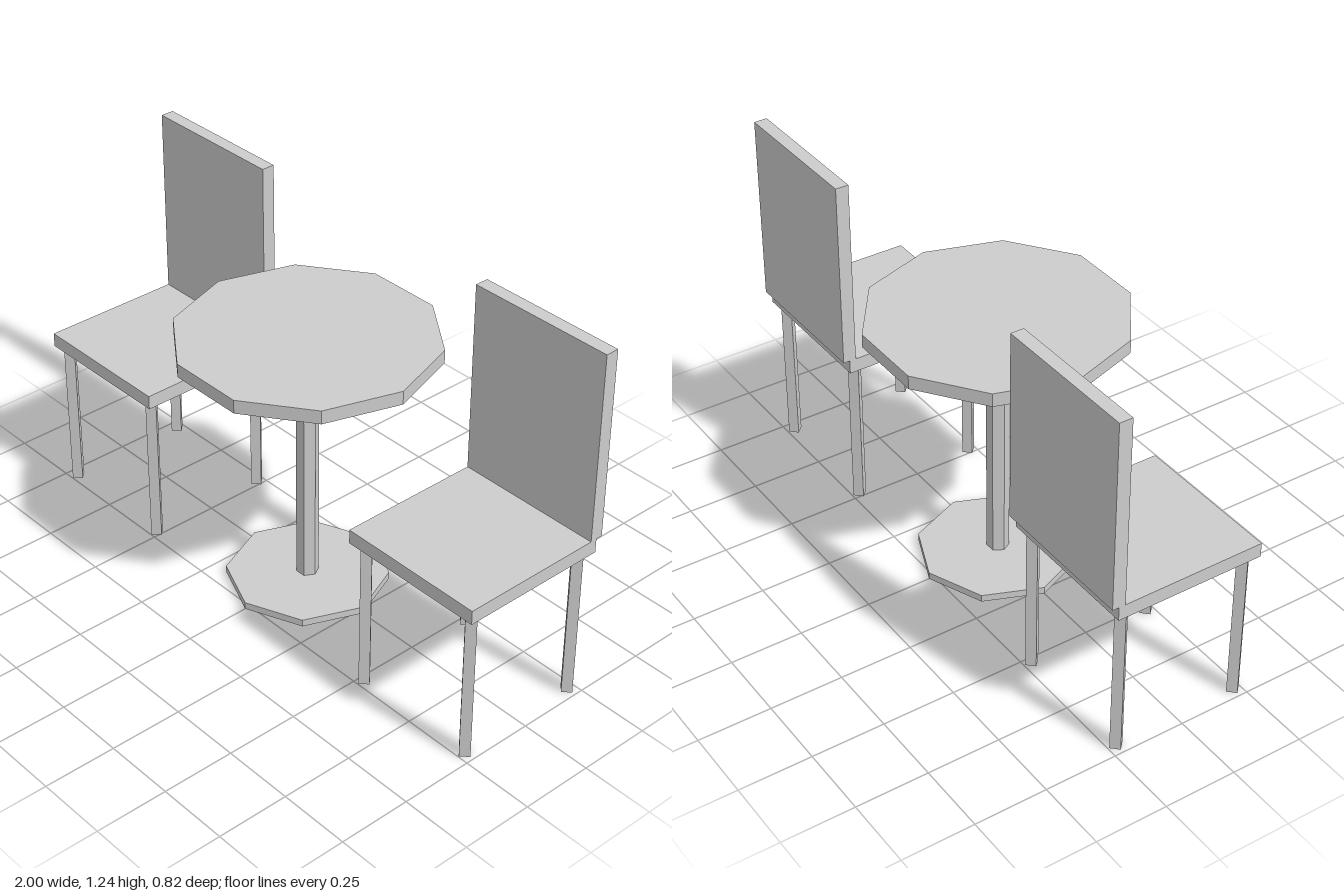
import * as THREE from 'three';

const grey = new THREE.MeshStandardMaterial({ color: 0xcccccc });
grey.name = 'light grey';

// Box given by its centre, with its underside at y
function box(name, w, h, d, x, y, z) {
  const mesh = new THREE.Mesh(new THREE.BoxGeometry(w, h, d).translate(0, h / 2, 0), grey);
  mesh.name = name;
  mesh.position.set(x, y, z);
  return mesh;
}

// Faceted prism with one corner on +x, with its underside at y
function prism(name, radius, h, sides, x, y, z) {
  const geometry = new THREE.CylinderGeometry(radius, radius, h, sides, 1, false, Math.PI / 2)
    .translate(0, h / 2, 0).toNonIndexed();
  geometry.computeVertexNormals();
  const mesh = new THREE.Mesh(geometry, grey);
  mesh.name = name;
  mesh.position.set(x, y, z);
  return mesh;
}

function createTable() {
  const table = new THREE.Group();
  table.name = 'table';
  table.add(
    prism('tableBase', 0.27, 0.025, 8, 0, 0, 0),
    prism('tablePole', 0.0375, 0.865, 6, 0, 0.025, 0),
    prism('tableTop', 0.43, 0.047, 10, 0, 0.89, 0)
  );
  return table;
}

function createChair(name, x) {
  const chair = new THREE.Group();
  chair.name = name;
  chair.position.x = x;
  chair.add(
    box('seat', 0.518, 0.049, 0.518, 0, 0.533, 0.001),
    box('backrest', 0.518, 0.654, 0.046, 0, 0.582, -0.258)
  );
  // Square legs turned corner-on
  for (const sx of [-1, 1]) {
    for (const sz of [-1, 1]) {
      const legName = (sz > 0 ? 'front' : 'back') + (sx > 0 ? 'Left' : 'Right') + 'Leg';
      chair.add(prism(legName, 0.0247, 0.533, 4, sx * 0.222, 0, sz * 0.222 + 0.001));
    }
  }
  return chair;
}

export function createModel() {
  const model = new THREE.Group();
  model.name = 'tableAndChairs';
  model.add(createTable(), createChair('leftChair', 0.741), createChair('rightChair', -0.741));
  return model;
}
